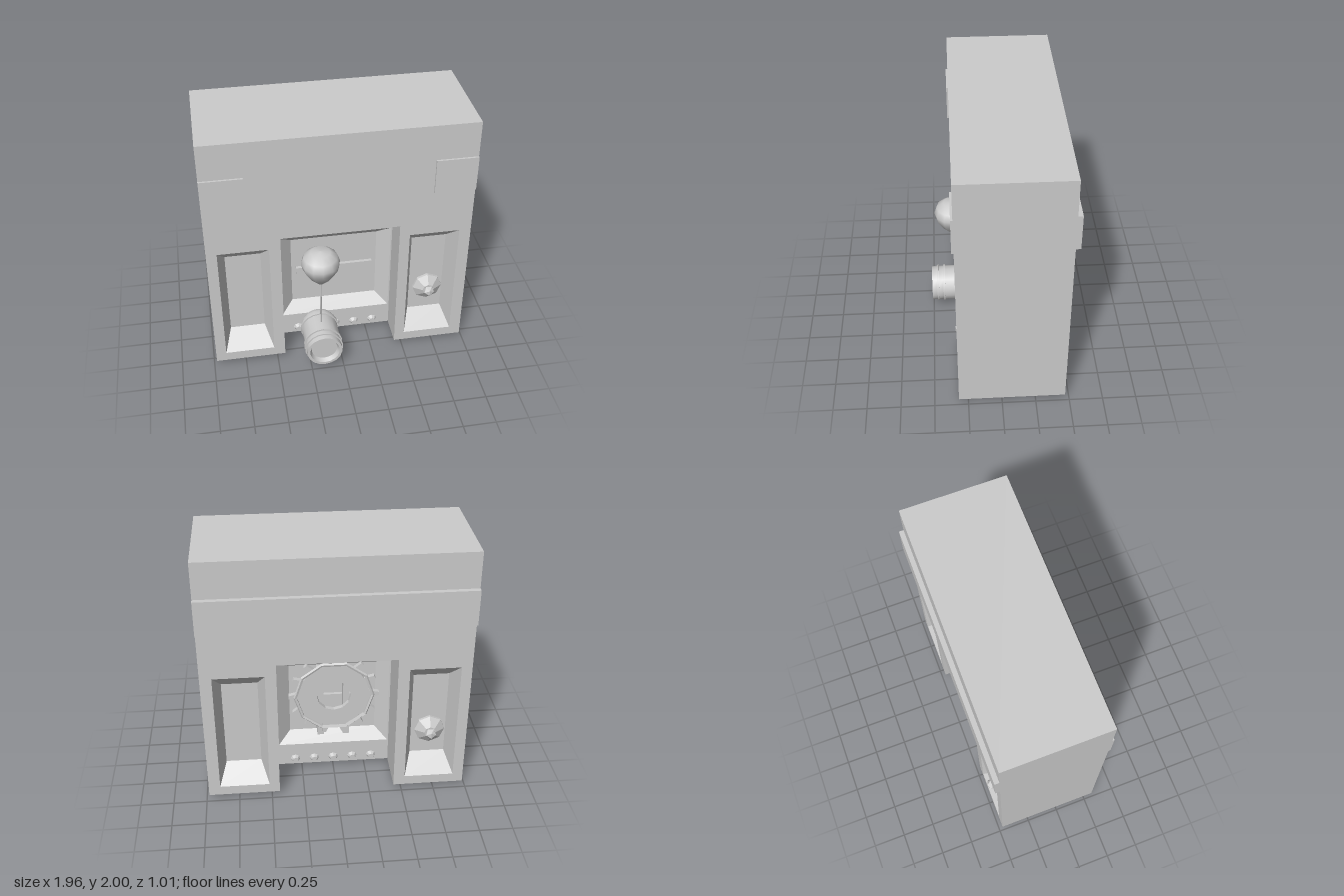
import * as THREE from 'three';
import { toCreasedNormals } from 'three/addons/utils/BufferGeometryUtils.js';

const flat = new THREE.MeshStandardMaterial({ color: 0xcccccc, flatShading: true });
const smooth = new THREE.MeshStandardMaterial({ color: 0xcccccc });
const FRONT = 0.32, BACK = -0.47;          // wall faces
const DOOR_F = 0.09, DOOR_B = -0.14;       // door faces

function add(parent, name, geo, x = 0, y = 0, z = 0, mat = flat) {
  const m = new THREE.Mesh(geo, mat);
  m.name = name;
  m.position.set(x, y, z);
  parent.add(m);
  return m;
}

const box = (w, h, d) => new THREE.BoxGeometry(w, h, d);

function rect(P, x0, y0, x1, y1) {
  return new P([[x0, y0], [x1, y0], [x1, y1], [x0, y1]].map(p => new THREE.Vector2(...p)));
}

// Sunken panel facing +z: sloping sides from a rim at z = 0 down to a flat floor
function pocket(w, h, bx, by, depth) {
  const ring = (a, b, z) => [[-a, -b, z], [a, -b, z], [a, b, z], [-a, b, z]];
  const v = [...ring(w / 2, h / 2, 0), ...ring(w / 2 - bx, h / 2 - by, -depth)];
  const idx = [4, 5, 6, 4, 6, 7];
  for (let i = 0; i < 4; i++) {
    const j = (i + 1) % 4;
    idx.push(i, j, j + 4, i, j + 4, i + 4);
  }
  const g = new THREE.BufferGeometry();
  g.setAttribute('position', new THREE.Float32BufferAttribute(v.flat(), 3));
  g.setIndex(idx);
  const out = g.toNonIndexed();
  out.computeVertexNormals();
  return out;
}

function slab(shape, z0, z1) {
  return new THREE.ExtrudeGeometry(shape, { depth: z1 - z0, bevelEnabled: false }).translate(0, 0, z0);
}

// Eight-sided lamp in a side panel, facing +z
function lamp() {
  const g = new THREE.Group();
  g.name = 'lamp';
  const turned = pts => new THREE.LatheGeometry(pts.map(p => new THREE.Vector2(...p)), 8).rotateX(Math.PI / 2);
  add(g, 'lampDish', turned([[0.06, -0.14], [0.115, -0.1], [0.115, -0.08], [0.045, -0.035], [0, -0.035]]));
  add(g, 'lampBulb', new THREE.IcosahedronGeometry(0.044, 0), 0, 0, -0.022);
  return g;
}

function gearGeometry(teeth, root, tip, hole) {
  const s = new THREE.Shape();
  const step = Math.PI * 2 / teeth;
  for (let i = 0; i < teeth; i++) {
    [[-0.5, root], [-0.26, root], [-0.09, tip], [0.09, tip], [0.26, root]].forEach(([f, r], k) => {
      const a = (i + f) * step;
      s[i + k ? 'lineTo' : 'moveTo'](Math.cos(a) * r, Math.sin(a) * r);
    });
  }
  const p = new THREE.Path();
  p.absarc(0, 0, hole, 0, Math.PI * 2, true);
  s.holes.push(p);
  return new THREE.ExtrudeGeometry(s, { depth: 0.035, bevelEnabled: false, curveSegments: 6 });
}

export function createModel() {
  const root = new THREE.Group();
  root.name = 'gateway';

  // Wall with a doorway and four sunken side panels
  const outline = [[-0.98, 0.04], [-0.44, 0.04], [-0.44, 1.18], [0.44, 1.18],
    [0.44, 0.04], [0.98, 0.04], [0.98, 2], [-0.98, 2]];
  const wall = new THREE.Shape(outline.map(p => new THREE.Vector2(...p)));
  for (const c of [-0.713, 0.705]) wall.holes.push(rect(THREE.Path, c - 0.188, 0.115, c + 0.188, 1.09));
  add(root, 'wall', slab(wall, BACK, FRONT));
  for (const c of [-0.713, 0.705]) {
    for (const back of [false, true]) {
      const m = add(root, 'sidePanel', pocket(0.376, 0.975, 0.055, 0.135, 0.14), c, 0.6025, back ? BACK : FRONT);
      if (back) m.rotation.y = Math.PI;
    }
  }
  const frontLamp = lamp();
  frontLamp.position.set(0.705, 0.5, FRONT - 0.008);
  const backLamp = lamp();
  backLamp.position.set(-0.71, 0.5, BACK - 0.003);
  backLamp.rotation.y = Math.PI;
  root.add(frontLamp, backLamp);

  // Sign plates at the front, one long band at the back
  for (const s of [-1, 1]) add(root, 'frontPlate', box(0.305, 0.27, 0.03), s * 0.8275, 1.59, FRONT);
  add(root, 'backBand', box(1.96, 0.27, 0.06), 0, 1.59, BACK - 0.005);

  // Door with a sunken panel, crossbar and rivets on both faces
  const door = new THREE.Group();
  door.name = 'door';
  root.add(door);
  const leaf = rect(THREE.Shape, -0.44, 0.04, 0.44, 1.18);
  leaf.holes.push(rect(THREE.Path, -0.43, 0.23, 0.43, 1.0));
  add(door, 'doorLeaf', slab(leaf, DOOR_B, DOOR_F));
  for (const s of [1, -1]) {
    const face = new THREE.Group();
    face.name = s > 0 ? 'doorFront' : 'doorBack';
    face.position.z = s > 0 ? DOOR_F : DOOR_B;
    if (s < 0) face.rotation.y = Math.PI;
    door.add(face);
    add(face, 'doorPanel', pocket(0.86, 0.77, 0.095, 0.085, 0.085), 0, 0.615, 0);
    add(face, 'crossbar', box(0.6, 0.06, 0.03), 0, 0.62, -0.075);
    for (const y of [0.095, 1.105]) {
      for (let i = -2; i <= 2; i++) {
        const rivet = new THREE.CylinderGeometry(0.022, 0.04, 0.03, 8).rotateX(Math.PI / 2).scale(1, 0.85, 1);
        add(face, 'rivet', rivet, i * 0.151, y, 0.012);
      }
    }
  }

  // Teeth under the door
  for (let i = 0; i < 7; i++) {
    const t = new THREE.CylinderGeometry(0.052, 0.036, 0.036, 8).rotateY(Math.PI / 8).scale(0.76, 1, 0.98);
    add(door, 'doorTooth', t, -0.47 + i * 0.1433, 0.023, -0.027);
  }

  // Gear on the back of the door, held by two upright slats
  for (const x of [-0.1, 0.1]) add(door, 'slat', box(0.05, 0.58, 0.1), x, 0.62, -0.11);
  add(door, 'gear', gearGeometry(14, 0.27, 0.345, 0.13), 0, 0.72, -0.205);
  add(door, 'gearRim', new THREE.TorusGeometry(0.295, 0.014, 5, 10), 0, 0.72, -0.21);

  // Hollow-ended barrel lying in front of the door
  const profile = [[0, 0.15], [0.125, 0.15], [0.138, 0.18], [0.138, 0.215], [0.15, 0.215], [0.15, 0.235],
    [0.14, 0.235], [0.14, 0.4], [0.15, 0.4], [0.15, 0.415], [0.138, 0.415], [0.138, 0.45], [0.148, 0.45],
    [0.148, 0.465], [0.138, 0.465], [0.136, 0.505], [0.115, 0.505], [0.1, 0.47], [0, 0.47]];
  const barrel = new THREE.LatheGeometry(profile.map(p => new THREE.Vector2(...p)), 18).rotateX(Math.PI / 2);
  add(root, 'barrel', toCreasedNormals(barrel, 0.5), -0.15, 0.188, 0, smooth);

  // Balloon and its string
  const skin = [[0, -0.18], [0.025, -0.175], [0.09, -0.105], [0.135, -0.03], [0.146, 0.02],
    [0.128, 0.075], [0.075, 0.115], [0, 0.124]];
  add(root, 'balloon', new THREE.LatheGeometry(skin.map(p => new THREE.Vector2(...p)), 12),
    -0.15, 0.9, 0.315, smooth);
  add(root, 'string', new THREE.CylinderGeometry(0.007, 0.007, 0.43, 6), -0.15, 0.52, 0.315, smooth);

  return root;
}
